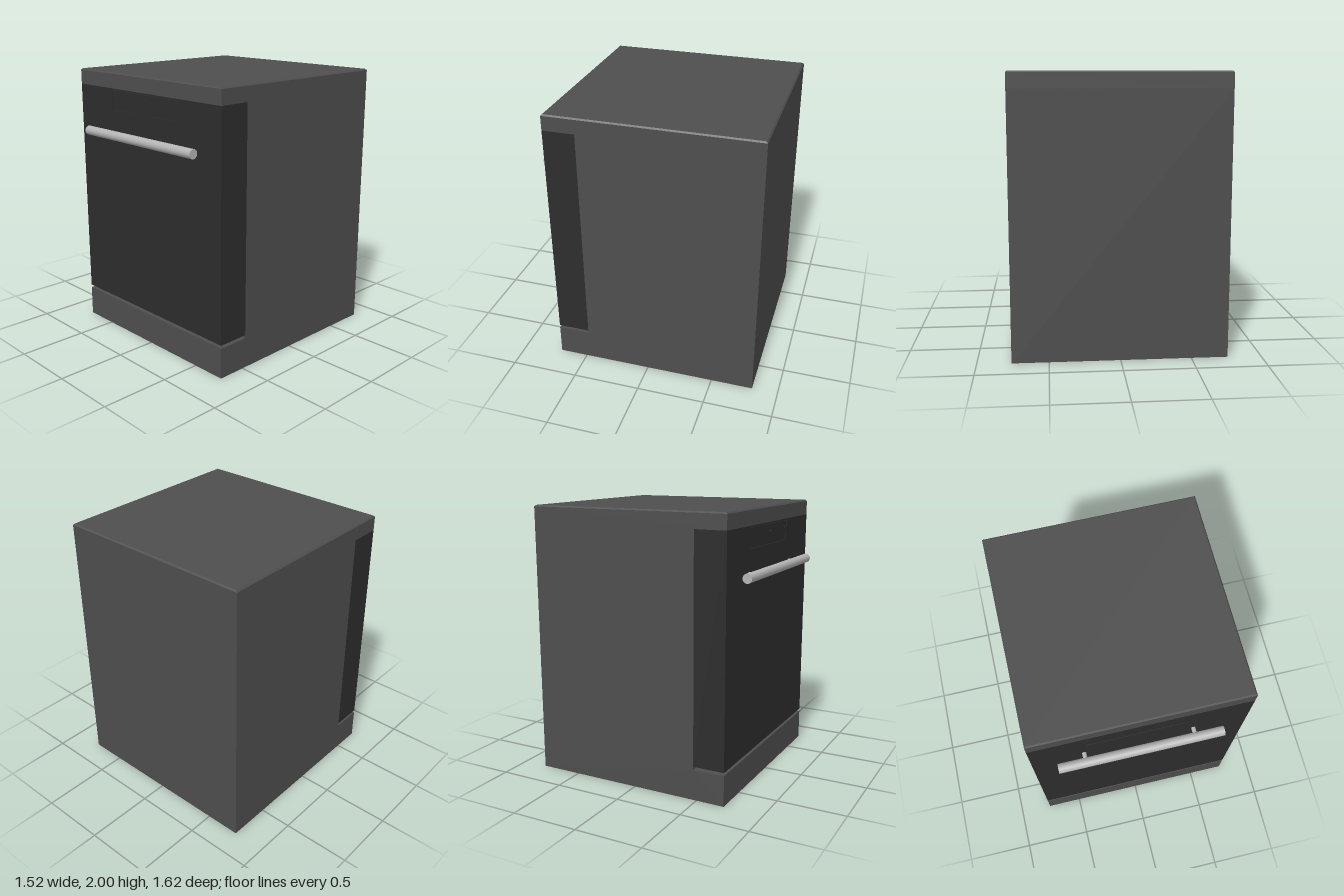
import * as THREE from 'three';

const mat = (name, color) => Object.assign(new THREE.MeshStandardMaterial({ color }), { name });

function rect(path, x0, y0, x1, y1) {
  path.moveTo(x0, y0);
  path.lineTo(x1, y0);
  path.lineTo(x1, y1);
  path.lineTo(x0, y1);
  path.closePath();
  return path;
}

export function createModel() {
  const group = new THREE.Group();
  const casing = mat('casing grey', 0x4e4e4e);
  const black = mat('door black', 0x2d2d2d);
  const steel = mat('handle steel', 0xb4b4b4);

  const add = (name, geometry, material, x = 0, y = 0, z = 0) => {
    const mesh = new THREE.Mesh(geometry, material);
    mesh.name = name;
    mesh.position.set(x, y, z);
    group.add(mesh);
    return mesh;
  };
  const W = 0.76, BACK = -0.81, FRONT = 0.71, DOOR_BACK = 0.475;

  // Cabinet and plinth: an L-shaped side profile (z, y) extruded across the width
  const side = new THREE.Shape([
    [BACK, 0], [FRONT, 0], [FRONT, 0.225], [DOOR_BACK, 0.225], [DOOR_BACK, 1.887], [BACK, 1.887],
  ].map(([z, y]) => new THREE.Vector2(-z, y)));
  const cabinet = new THREE.ExtrudeGeometry(side, { depth: 2 * W, bevelEnabled: false });
  cabinet.rotateY(Math.PI / 2);
  add('cabinet', cabinet, casing, -W);

  // Worktop slab with a small chamfer; its lower chamfer sits inside the cabinet
  const b = 0.01;
  const slab = new THREE.ExtrudeGeometry(
    rect(new THREE.Shape(), -W + b, -FRONT + b, W - b, -BACK - b),
    { depth: 0.105, bevelThickness: b, bevelSize: b, bevelSegments: 1 });
  slab.rotateX(-Math.PI / 2);
  add('worktop', slab, casing, 0, 1.885, 0);

  // Door with an opening for the control panel
  const P = { x0: -0.375, x1: 0.305, y0: 1.727, y1: 1.875 };
  const doorShape = rect(new THREE.Shape(), -W, 0.248, W, 1.885);
  doorShape.holes.push(rect(new THREE.Path(), P.x0, P.y0, P.x1, P.y1));
  add('door', new THREE.ExtrudeGeometry(doorShape,
    { depth: FRONT - DOOR_BACK, bevelEnabled: false }), black, 0, 0, DOOR_BACK);

  // Control panel, set in with a hairline gap
  const gap = 0.003, cx = (P.x0 + P.x1) / 2, cy = (P.y0 + P.y1) / 2;
  add('controlPanel', new THREE.BoxGeometry(P.x1 - P.x0 - 2 * gap, P.y1 - P.y0 - 2 * gap, 0.2),
    black, cx, cy, FRONT - 0.102);

  // Power button and touch marks
  const button = add('powerButton', new THREE.CylinderGeometry(0.01, 0.01, 0.004, 16),
    black, -0.01, 1.817, FRONT - 0.001);
  button.rotation.x = Math.PI / 2;
  for (const x of [-0.36, 0.28]) {
    add('touchMark', new THREE.BoxGeometry(0.006, 0.03, 0.003), black, x, 1.825, FRONT - 0.001);
  }

  // Handle bar and its two standoffs
  const bar = add('handleBar', new THREE.CylinderGeometry(0.034, 0.034, 1.162, 24),
    steel, -0.007, 1.56, 0.78);
  bar.rotation.z = Math.PI / 2;
  for (const x of [-0.395, 0.373]) {
    const post = add('handlePost', new THREE.CylinderGeometry(0.015, 0.015, 0.08, 16),
      steel, x, 1.56, 0.74);
    post.rotation.x = Math.PI / 2;
  }
  return group;
}
